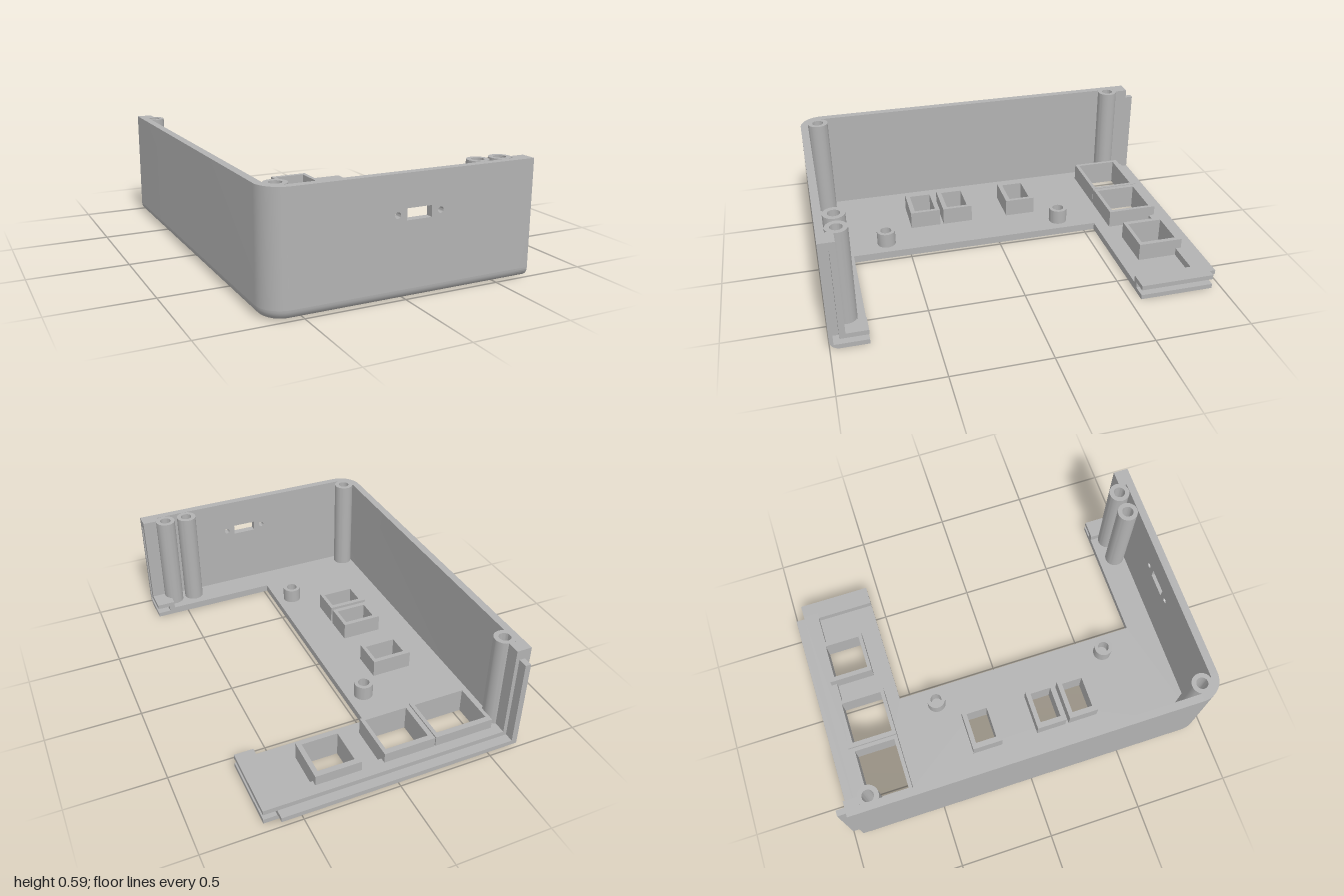
import * as THREE from 'three';
import { toCreasedNormals } from 'three/addons/utils/BufferGeometryUtils.js';

const H = 0.585, FLOOR = 0.04, WALL = 0.04, FILLET = 0.05, RIM = 0.08, END = 0.61;
const CORNER = { x: -0.56, z: 0.88, r: 0.12 };

export function createModel() {
  const group = new THREE.Group();
  const plastic = new THREE.MeshStandardMaterial({ color: 0xb2b2b2 });
  plastic.name = 'grey plastic';

  const add = (name, geometry) => {
    const mesh = new THREE.Mesh(geometry, plastic);
    mesh.name = name;
    group.add(mesh);
  };
  const box = (name, x0, x1, y0, y1, z0, z1) => {
    const g = new THREE.BoxGeometry(x1 - x0, y1 - y0, z1 - z0);
    g.translate((x0 + x1) / 2, (y0 + y1) / 2, (z0 + z1) / 2);
    add(name, g);
  };
  const extrude = (shape, depth) =>
    new THREE.ExtrudeGeometry(shape, { depth, bevelEnabled: false, curveSegments: 20 });
  // extrudes a plan drawn in (x, z) between two heights
  const plan = (name, shape, y0, y1) => {
    const g = extrude(shape, y1 - y0).rotateX(Math.PI / 2).translate(0, y1, 0);
    add(name, toCreasedNormals(g, 0.5));
  };
  const rectangle = (P, x0, x1, z0, z1) => new P().moveTo(x0, z0).lineTo(x1, z0).lineTo(x1, z1).lineTo(x0, z1).closePath();
  const circle = (P, x, z, r) => new P().absarc(x, z, r, 0, Math.PI * 2, false);

  // Sockets: outer rectangle, then the opening that goes through the floor
  const sockets = [
    [[-0.56, -0.24, -0.9, -0.63], [-0.54, -0.26, -0.87, -0.65]],
    [[-0.235, 0.04, -0.9, -0.63], [-0.21, 0.02, -0.87, -0.65]],
    [[0.16, 0.4, -0.9, -0.66], [0.185, 0.375, -0.87, -0.68]],
    ...[-0.26, 0.11, 0.295].map((z) => [
      [-0.45, -0.23, z, z + 0.165], [-0.42, -0.25, z + 0.025, z + 0.14],
    ]),
  ];

  // C-shaped floor
  const floor = new THREE.Shape();
  floor.moveTo(-0.63, -0.95);
  [[END, -0.95], [END, -0.56], [-0.02, -0.56], [-0.02, 0.81], [END, 0.81], [END, 0.95], [CORNER.x, 0.95]]
    .forEach(([x, z]) => floor.lineTo(x, z));
  floor.absarc(CORNER.x, CORNER.z, CORNER.r - FILLET, Math.PI / 2, Math.PI, false);
  floor.closePath();
  sockets.forEach(([, hole]) => floor.holes.push(rectangle(THREE.Path, ...hole)));
  plan('floor', floor, 0, FLOOR);

  sockets.forEach(([outer, hole]) => {
    const s = rectangle(THREE.Shape, ...outer);
    s.holes.push(rectangle(THREE.Path, ...hole));
    plan('switchSocket', s, FLOOR, 0.135);
  });

  // Sweeps a profile of (inset, y) along the left side and round the front corner
  const sweep = (name, profile, endX) => {
    const frames = [[-0.68, -0.95, 1, 0]];
    for (let i = 0; i <= 14; i++) {
      const a = Math.PI - (i / 14) * Math.PI / 2, c = Math.cos(a), s = Math.sin(a);
      frames.push([CORNER.x + CORNER.r * c, CORNER.z + CORNER.r * s, -c, -s]);
    }
    if (endX > CORNER.x) frames.push([endX, 1, 0, -1]);
    const n = profile.length, pos = [], idx = [];
    frames.forEach(([x, z, nx, nz]) => profile.forEach(([o, y]) => pos.push(x + nx * o, y, z + nz * o)));
    for (let i = 0; i < frames.length - 1; i++) {
      for (let j = 0; j < n; j++) {
        const k = (j + 1) % n, a = i * n + j, b = a + n, c = (i + 1) * n + k, d = i * n + k;
        idx.push(a, c, b, a, d, c);
      }
    }
    const last = (frames.length - 1) * n;
    for (let k = 1; k < n - 1; k++) idx.push(0, k + 1, k, last, last + k, last + k + 1);
    const g = new THREE.BufferGeometry();
    g.setAttribute('position', new THREE.Float32BufferAttribute(pos, 3));
    g.setIndex(idx);
    add(name, toCreasedNormals(g.toNonIndexed(), 0.5));
  };
  const rounded = [];
  for (let i = 0; i <= 8; i++) {
    const a = (i / 8) * Math.PI / 2;
    rounded.push([FILLET * (1 - Math.cos(a)), FILLET * (1 - Math.sin(a))]);
  }
  sweep('roundedBottomEdge', [...rounded, [FILLET, FLOOR], [WALL, FLOOR], [WALL, FILLET]], END);
  sweep('leftWall', [[0, H], [0, FILLET], [WALL, FILLET], [WALL, H]], CORNER.x);

  // Front wall with the connector opening and two screw holes
  const front = rectangle(THREE.Shape, CORNER.x, END, FILLET, H);
  front.holes.push(rectangle(THREE.Path, -0.005, 0.123, 0.37, 0.425),
    circle(THREE.Path, -0.052, 0.398, 0.015), circle(THREE.Path, 0.17, 0.398, 0.015));
  add('frontWall', toCreasedNormals(extrude(front, WALL).translate(0, 0, 1 - WALL), 0.5));

  // Grooved end of the front wall and front arm, drawn in (z, y)
  const end = new THREE.Shape();
  end.moveTo(0.81, 0).lineTo(1 - FILLET, 0);
  end.absarc(1 - FILLET, FILLET, FILLET, -Math.PI / 2, 0, false);
  [[1, H], [0.92, H], [0.92, RIM], [0.81, RIM], [0.81, 0.055], [0.95, 0.055], [0.95, 0.54], [0.98, 0.54], [0.98, 0.025], [0.81, 0.025]]
    .forEach(([z, y]) => end.lineTo(z, y));
  end.closePath();
  add('frontGroovedEnd', toCreasedNormals(extrude(end, 0.68 - END).rotateY(-Math.PI / 2).translate(0.68, 0, 0), 0.5));
  box('frontEndBacking', 0.59, END, FLOOR, H, 0.92, 0.97);
  box('frontArmRim', 0.58, END, FLOOR, RIM, 0.81, 0.96);

  // Back arm: raised rim and forked end
  box('backRim', -0.64, END, FLOOR, RIM, -0.95, -0.87);
  box('backArmRim', 0.58, END, FLOOR, RIM, -0.87, -0.56);
  box('backForkLower', END, 0.68, 0, 0.025, -0.95, -0.56);
  box('backForkUpper', END, 0.68, 0.055, RIM, -0.95, -0.56);

  // Thicker back end of the left wall, with the joining tongue
  box('leftWallEnd', -0.68, -0.6, FILLET, H, -0.95, -0.88);
  box('tongueBottom', -0.65, END, 0.03, 0.055, -1, -0.95);
  box('tongueSide', -0.65, -0.62, 0.055, 0.53, -1, -0.95);

  // Hollow screw posts and short standoffs
  const post = (name, x, z, r, top) => {
    const s = circle(THREE.Shape, x, z, r);
    s.holes.push(circle(THREE.Path, x, z, 0.03));
    plan(name, s, FLOOR, top);
  };
  [[-0.59, 0.905], [0.43, 0.905], [0.555, 0.905], [-0.612, -0.83]]
    .forEach(([x, z]) => post('screwPost', x, z, 0.054, H));
  [-0.37, 0.62].forEach((z) => post('standoff', -0.112, z, 0.05, 0.12));

  return group;
}
